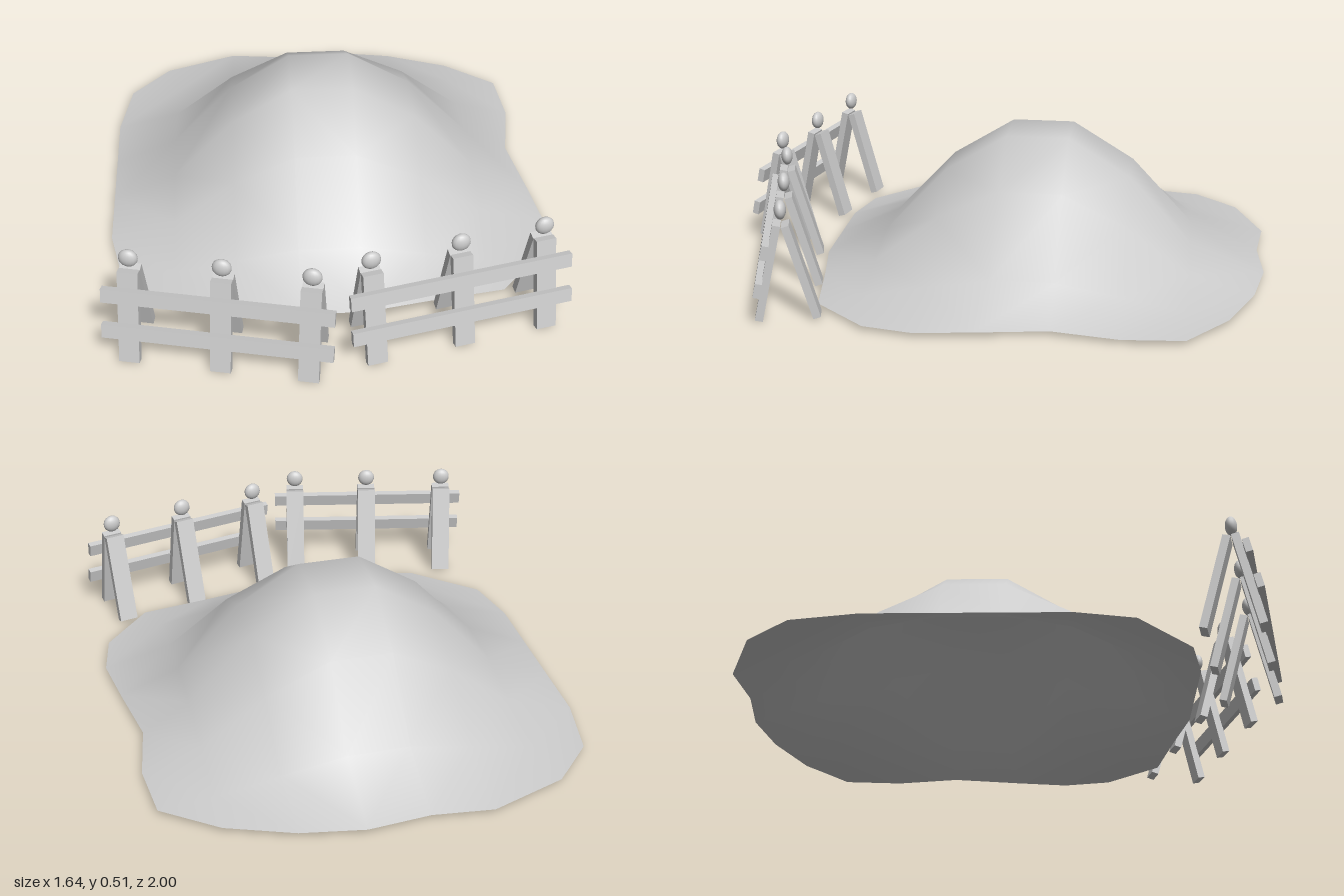
import * as THREE from 'three';

const grey = new THREE.MeshStandardMaterial({ color: 0xcccccc });
const greyDouble = new THREE.MeshStandardMaterial({ color: 0xcccccc, side: THREE.DoubleSide });

function add(parent, name, geometry, x, y, z, material = grey) {
  const mesh = new THREE.Mesh(geometry, material);
  mesh.name = name;
  mesh.position.set(x, y, z);
  parent.add(mesh);
  return mesh;
}

// Smooth heap: an 8 x 8 grid with an irregular rim, open underneath
function createMound() {
  const N = 8;
  const gx = [-0.82, -0.585, -0.355, -0.13, 0.1, 0.335, 0.57, 0.8];
  const gz = [-0.96, -0.72, -0.49, -0.26, -0.03, 0.2, 0.43, 0.65];
  // Rim points [x, z] along each side of the grid
  const back = [[-0.705, -0.82], [-0.63, -0.9], [-0.35, -1], [-0.13, -0.975], [0.1, -0.995], [0.33, -0.955], [0.57, -0.865], [0.665, -0.793]];
  const front = [[-0.665, 0.512], [-0.55, 0.615], [-0.35, 0.66], [-0.13, 0.66], [0.1, 0.66], [0.32, 0.62], [0.61, 0.575], [0.7, 0.475]];
  const left = [null, [-0.78, -0.74], [-0.825, -0.5], [-0.825, -0.26], [-0.825, -0.03], [-0.825, 0.2], [-0.78, 0.41]];
  const right = [null, [0.765, -0.72], [0.785, -0.5], [0.745, -0.26], [0.79, 0], [0.82, 0.2], [0.785, 0.38]];
  // Height by number of cells away from the flat crown in x and z
  const height = [[0.51, 0.37, 0.125], [0.37, 0.26, 0.085], [0.125, 0.085, 0.04]];
  const ring = (i) => Math.max(3 - i, i - 4);

  const positions = [];
  const index = [];
  for (let j = 0; j < N; j++) {
    for (let i = 0; i < N; i++) {
      let rim = null;
      if (j === 0) rim = back[i];
      else if (j === N - 1) rim = front[i];
      else if (i === 0) rim = left[j];
      else if (i === N - 1) rim = right[j];
      if (rim) positions.push(rim[0], 0.02, rim[1]);
      else positions.push(gx[i], height[ring(i)][ring(j)], gz[j]);
      if (i < N - 1 && j < N - 1) {
        const a = j * N + i, b = a + 1, c = a + N, d = c + 1;
        // Diagonals run around the heap so that it stays rounded
        if ((i < 3.5) === (j < 3.5)) index.push(a, c, b, b, c, d);
        else index.push(a, c, d, a, d, b);
      }
    }
  }
  const geometry = new THREE.BufferGeometry();
  geometry.setAttribute('position', new THREE.Float32BufferAttribute(positions, 3));
  geometry.setIndex(index);
  geometry.computeVertexNormals();
  return geometry;
}

// Board leaning in the yz plane from its top to its foot
function addLeg(parent, name, zTop, zFoot) {
  const top = 0.36, lean = Math.atan2(zTop - zFoot, top), thick = 0.028;
  const geometry = new THREE.BoxGeometry(0.072, top - thick * Math.abs(Math.sin(lean)), thick);
  const leg = add(parent, name, geometry, 0, top / 2, (zTop + zFoot) / 2);
  leg.rotation.x = lean;
}

// A-frame post with a flattened knob on top
function createPost() {
  const post = new THREE.Group();
  post.name = 'post';
  addLeg(post, 'frontLeg', 0.012, 0.09);
  addLeg(post, 'backLeg', -0.012, -0.115);
  const knob = add(post, 'knob', new THREE.SphereGeometry(0.034, 16, 12), 0, 0.4, 0);
  knob.scale.z = 0.62;
  return post;
}

// Barrier panel: three posts and two rails lying on the front legs
function createBarrier(name, x, z, turn) {
  const barrier = new THREE.Group();
  barrier.name = name;
  for (const px of [-0.32, 0, 0.305]) {
    const post = createPost();
    post.position.x = px;
    barrier.add(post);
  }
  const lean = Math.atan2(-0.078, 0.36);
  for (const [railName, y, rz] of [['upperRail', 0.274, 0.056], ['lowerRail', 0.138, 0.085]]) {
    const rail = add(barrier, railName, new THREE.BoxGeometry(0.8, 0.052, 0.024), -0.009, y, rz);
    rail.rotation.x = lean;
  }
  barrier.position.set(x, 0, z);
  barrier.rotation.y = turn;
  return barrier;
}

export function createModel() {
  const model = new THREE.Group();
  model.name = 'moundWithBarriers';
  add(model, 'mound', createMound(), 0, 0, 0, greyDouble);
  model.add(createBarrier('rightBarrier', -0.4, 0.815, -0.215));
  model.add(createBarrier('leftBarrier', 0.41, 0.737, 0.227));
  return model;
}
